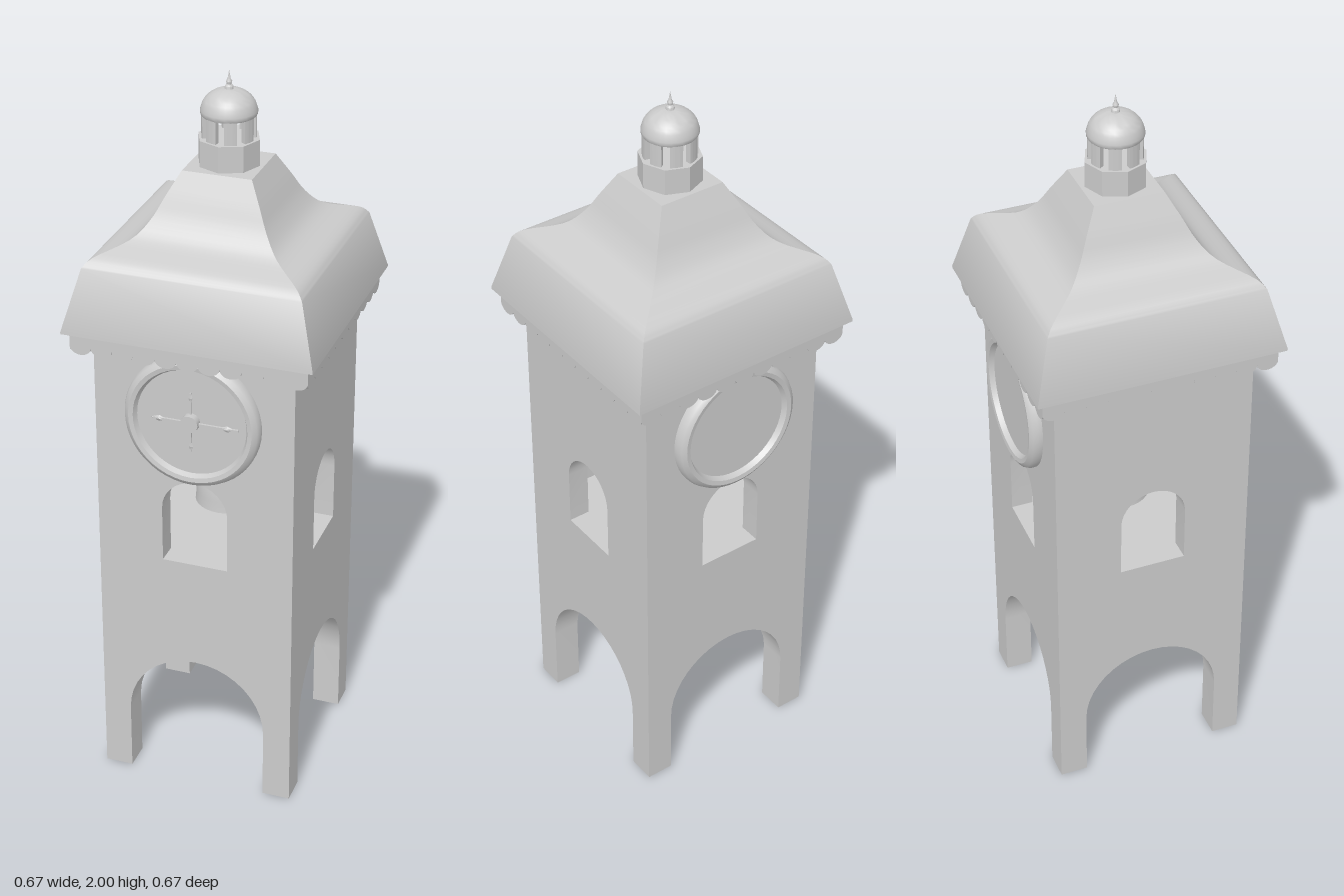
import * as THREE from 'three';
import { toCreasedNormals } from 'three/addons/utils/BufferGeometryUtils.js';

const W = 0.272;      // half width of the tower
const T = 0.06;       // wall thickness
const EAVE = 1.37;
const mat = new THREE.MeshStandardMaterial({ color: 0xcccccc });
const matDouble = new THREE.MeshStandardMaterial({ color: 0xcccccc, side: THREE.DoubleSide });

function add(parent, name, geometry, x = 0, y = 0, z = 0, material = mat) {
  const mesh = new THREE.Mesh(geometry, material);
  mesh.name = name;
  mesh.position.set(x, y, z);
  parent.add(mesh);
  return mesh;
}

function lathe(points, segments, crease, phi = 0) {
  const pts = points.map(([r, y]) => new THREE.Vector2(r, y));
  return toCreasedNormals(new THREE.LatheGeometry(pts, segments, phi), crease);
}

// Round-headed opening, listed from its left foot over the top to its right foot
function archPoints(r, bottom, spring, steps) {
  const pts = [[-r, bottom]];
  for (let i = 0; i <= steps; i++) {
    const a = Math.PI * (1 - i / steps);
    pts.push([r * Math.cos(a), spring + r * Math.sin(a)]);
  }
  pts.push([r, bottom]);
  return pts.map(([x, y]) => new THREE.Vector2(x, y));
}

// Upper wall with bell window, mitred at the corners
function upperWall() {
  const shape = new THREE.Shape();
  shape.moveTo(-W, 0.55).lineTo(W, 0.55).lineTo(W, EAVE).lineTo(-W, EAVE).closePath();
  shape.holes.push(new THREE.Path(archPoints(0.091, 0.71, 0.87, 16)));
  const geo = new THREE.ExtrudeGeometry(shape, { depth: T, bevelEnabled: false });
  geo.translate(0, 0, W - T);
  const p = geo.attributes.position;
  for (let i = 0; i < p.count; i++) {
    if (p.getZ(i) < W - T / 2 && Math.abs(p.getX(i)) > W - 0.01) p.setX(i, Math.sign(p.getX(i)) * (W - T));
  }
  return toCreasedNormals(geo, 0.4);
}

// Lower wall face between the legs
function lowerWall(arch) {
  const outline = [new THREE.Vector2(-W, 0), ...arch, new THREE.Vector2(W, 0),
    new THREE.Vector2(W, 0.55), new THREE.Vector2(-W, 0.55)];
  return new THREE.ShapeGeometry(new THREE.Shape(outline)).translate(0, 0, W);
}

// One quarter of the groin vault, running from the wall to the diagonals
function vaultQuarter(arch) {
  const pos = [], index = [];
  arch.forEach((p, i) => {
    pos.push(p.x, p.y, W, p.x, p.y, Math.abs(p.x));
    if (i) {
      const a = 2 * i - 2;
      index.push(a, a + 1, a + 2, a + 1, a + 3, a + 2);
    }
  });
  const geo = new THREE.BufferGeometry();
  geo.setAttribute('position', new THREE.Float32BufferAttribute(pos, 3));
  geo.setIndex(index);
  geo.computeVertexNormals();
  return geo;
}

// Scalloped board under the eave
function scallopTrim() {
  const half = 0.318, lobes = 11, r = half / lobes;
  const shape = new THREE.Shape();
  shape.moveTo(-half, EAVE + 0.005).lineTo(-half, 1.333);
  for (let i = 0; i < lobes; i++) {
    shape.absellipse(-half + r * (2 * i + 1), 1.333, r, 0.022, Math.PI, 2 * Math.PI, false, 0);
  }
  shape.lineTo(half, EAVE + 0.005).closePath();
  const geo = new THREE.ExtrudeGeometry(shape, { depth: 0.012, bevelEnabled: false, curveSegments: 8 });
  return geo.translate(0, 0, half - 0.012);
}

function clock(withHands) {
  const g = new THREE.Group();
  g.name = withHands ? 'frontClock' : 'backClock';
  const face = lathe([[0.185, 0], [0.185, 0.012], [0.18, 0.024], [0.168, 0.032], [0.156, 0.03],
    [0.149, 0.016], [0, 0.016]], 48, 0.7).rotateX(Math.PI / 2);
  add(g, 'clockFace', face, 0, 1.152, W);
  if (withHands) {
    const z = W + 0.026, y = 1.155;
    add(g, 'handHub', new THREE.CylinderGeometry(0.024, 0.024, 0.022, 12).rotateX(Math.PI / 2), 0, y, z);
    add(g, 'longHand', new THREE.BoxGeometry(0.23, 0.006, 0.006), 0.015, y, z);
    add(g, 'shortHand', new THREE.BoxGeometry(0.004, 0.17, 0.004), 0, y, z - 0.004);
    for (const x of [-0.085, 0.1]) {
      add(g, 'handOrnament', new THREE.OctahedronGeometry(1).scale(0.022, 0.009, 0.005), x, y, z);
    }
    for (const dy of [-0.07, 0.07]) {
      add(g, 'handOrnament', new THREE.OctahedronGeometry(1).scale(0.006, 0.018, 0.004), 0, y + dy, z - 0.004);
    }
  } else g.rotation.y = Math.PI;
  return g;
}

export function createModel() {
  const tower = new THREE.Group();
  tower.name = 'clockTower';

  // Four sides: walls, vault and trim
  const arch = archPoints(0.195, 0, 0.2, 20);
  const parts = { upperWall: upperWall(), lowerWall: lowerWall(arch), vault: vaultQuarter(arch), scallopTrim: scallopTrim() };
  for (let i = 0; i < 4; i++) {
    const side = new THREE.Group();
    side.name = 'towerSide';
    side.rotation.y = i * Math.PI / 2;
    for (const name in parts) {
      add(side, name, parts[name], 0, 0, 0, name === 'lowerWall' || name === 'vault' ? matDouble : mat);
    }
    tower.add(side);
  }

  // Bell chamber with the bell
  const inner = 2 * (W - T);
  add(tower, 'chamberFloor', new THREE.BoxGeometry(inner, 0.03, inner), 0, 0.695, 0);
  add(tower, 'chamberCeiling', new THREE.BoxGeometry(inner, 0.03, inner), 0, 1.015, 0);
  add(tower, 'bell', lathe([[0.092, 0.77], [0.089, 0.8], [0.088, 0.85], [0.08, 0.872], [0.068, 0.9], [0.062, 0.925],
    [0.052, 0.95], [0.03, 0.964], [0, 0.97]], 32, 0.8), 0, 0, 0, matDouble);
  add(tower, 'bellHanger', new THREE.CylinderGeometry(0.012, 0.012, 0.05, 12), 0, 0.985, 0);
  add(tower, 'clapperRod', new THREE.CylinderGeometry(0.006, 0.006, 0.16, 8), 0, 0.87, 0);
  add(tower, 'clapper', new THREE.SphereGeometry(0.018, 16, 10), 0, 0.795, 0);

  tower.add(clock(true), clock(false));

  // Flared square roof
  const flare = new THREE.SplineCurve([[0.291, 1.54], [0.268, 1.563], [0.195, 1.593], [0.155, 1.637], [0.125, 1.695], [0.093, 1.755]]
    .map(([x, y]) => new THREE.Vector2(x, y))).getPoints(20).map(p => [p.x, p.y]);
  const roof = [[0, EAVE], [0.335, EAVE], [0.335, EAVE + 0.006], ...flare, [0, 1.755]];
  add(tower, 'roof', lathe(roof.map(([r, y]) => [r * Math.SQRT2, y]), 4, 0.4, Math.PI / 4));

  // Lantern: octagonal base, ring of piers, dome and finial
  add(tower, 'lanternBase', toCreasedNormals(new THREE.CylinderGeometry(0.082, 0.082, 0.07, 8), 0.3), 0, 1.79, 0);
  for (let i = 0; i < 8; i++) {
    const mid = (i + 0.5) * Math.PI / 4, half = 0.235;
    const pier = new THREE.Shape();
    pier.absarc(0, 0, 0.07, mid - half, mid + half, false);
    pier.absarc(0, 0, 0.055, mid + half, mid - half, true);
    const geo = new THREE.ExtrudeGeometry(pier, { depth: 0.066, bevelEnabled: false, curveSegments: 5 });
    add(tower, 'lanternPier', toCreasedNormals(geo.rotateX(-Math.PI / 2), 0.5), 0, 1.822, 0);
  }
  const dome = [[0, 1.884], [0.07, 1.884], [0.073, 1.889], [0.073, 1.897]];
  for (let i = 1; i <= 10; i++) {
    const a = i / 10 * Math.PI / 2;
    dome.push([0.071 * Math.cos(a), 1.898 + 0.054 * Math.sin(a)]);
  }
  add(tower, 'dome', lathe(dome, 32, 0.6));
  add(tower, 'finial', lathe([[0.012, 1.945], [0.011, 1.958], [0.006, 1.963], [0.008, 1.97], [0.004, 1.977], [0, 2]], 12, 0.8));

  return tower;
}
